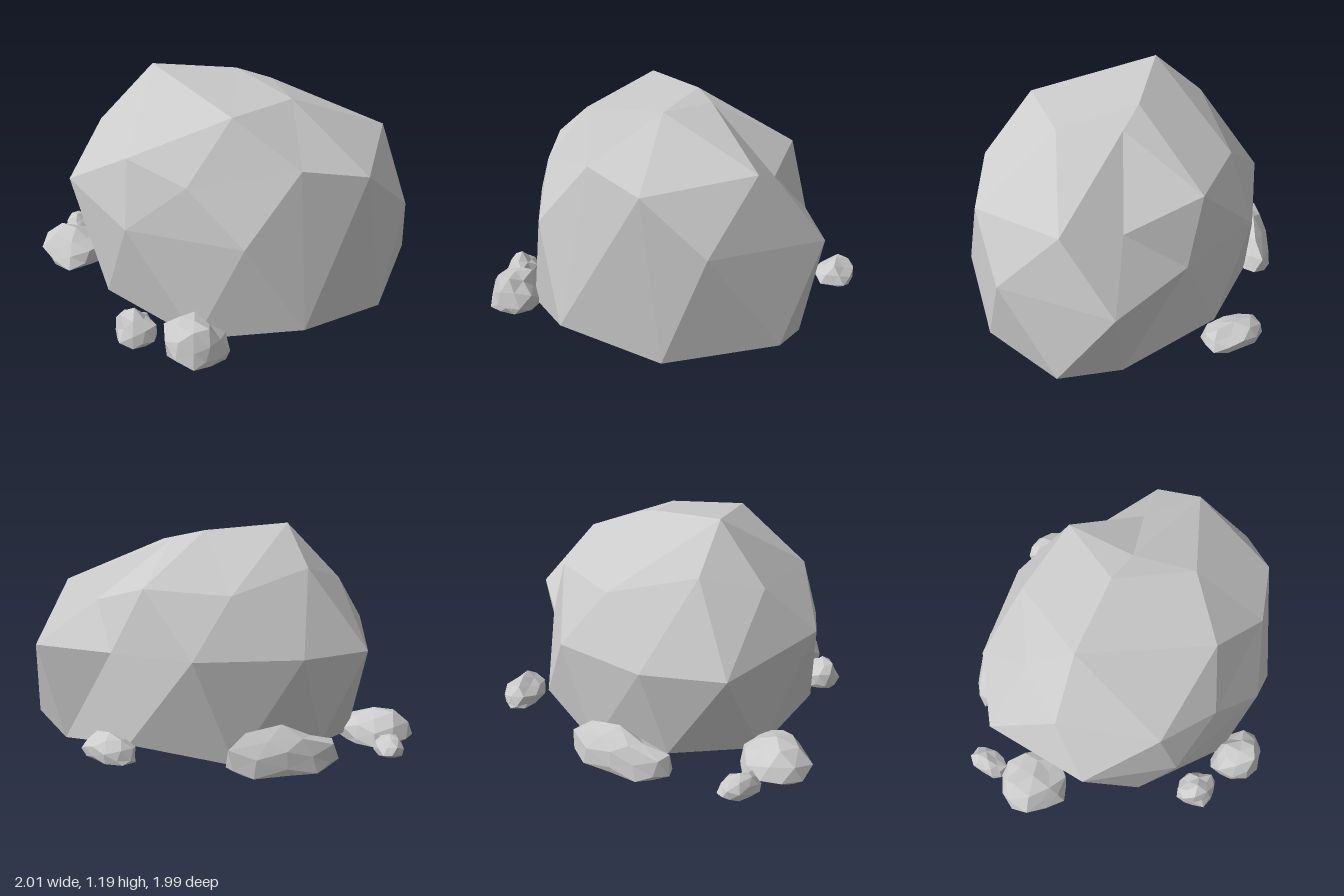
import * as THREE from 'three';
import { ConvexGeometry } from 'three/addons/geometries/ConvexGeometry.js';

const stone = new THREE.MeshStandardMaterial({ color: 0xcccccc, flatShading: true });

// Corners of the boulder, from the crown down to the underside
const corners = [
  // crown
  [-0.28, 1.2, 0.2], [0.04, 1.16, -0.12], [0.4, 1.1, 0.39], [0.47, 1.1, -0.02], [0.2, 1.11, -0.22],
  // shoulder
  [0.74, 0.88, 0.29], [0.94, 0.8, -0.01], [0.74, 0.88, -0.52], [0.42, 0.79, -0.57], [-0.01, 0.88, -0.63],
  [-0.38, 0.85, -0.38], [-0.51, 0.97, 0.08], [-0.48, 0.9, 0.41], [-0.02, 0.88, 0.69], [0.32, 0.8, 0.64],
  // belly
  [1, 0.55, -0.33], [0.63, 0.55, 0.59], [0.05, 0.55, 0.79], [-0.45, 0.65, 0.69], [-0.81, 0.55, 0.2],
  [-0.71, 0.55, -0.22], [-0.35, 0.55, -0.63], [0.14, 0.55, -0.72], [0.63, 0.55, -0.83],
  // ground rim, alternately touching down and lifted
  [1, 0.03, -0.12], [0.87, 0.11, 0.41], [0.43, 0.03, 0.71], [-0.14, 0.11, 0.75], [-0.56, 0.03, 0.41],
  [-0.72, 0.11, -0.08], [-0.48, 0.03, -0.47], [-0.03, 0.11, -0.76], [0.53, 0.03, -0.725], [0.87, 0.11, -0.65],
  // hollow underside
  [0.1, 0.09, 0],
].map((p) => new THREE.Vector3(...p));

// Triangulate the corner directions on a sphere, then pull each back to its true
// place, which keeps shallow dents that a plain hull would bridge
function boulderGeometry() {
  const centre = new THREE.Vector3(0.08, 0.42, -0.02);
  const dirs = corners.map((c) => c.clone().sub(centre).normalize());
  const geo = new ConvexGeometry(dirs);
  const pos = geo.attributes.position;
  const v = new THREE.Vector3();
  for (let i = 0; i < pos.count; i++) {
    v.fromBufferAttribute(pos, i);
    let best = 0;
    dirs.forEach((d, k) => { if (d.dot(v) > dirs[best].dot(v)) best = k; });
    pos.setXYZ(i, ...corners[best].toArray());
  }
  geo.computeVertexNormals();
  return geo;
}

// Same offset for every copy of the same vertex
function hash(v, seed) {
  const s = Math.sin(Math.round(v.x * 50) * 12.99 + Math.round(v.y * 50) * 78.23
    + Math.round(v.z * 50) * 37.72 + seed * 9.17) * 43758.55;
  return s - Math.floor(s);
}

// Small rough stone with a broad flat base, fitted to a size and standing on y = 0
function pebbleGeometry(size, seed) {
  const geo = new THREE.IcosahedronGeometry(1, 1);
  const pos = geo.attributes.position;
  const v = new THREE.Vector3();
  for (let i = 0; i < pos.count; i++) {
    v.fromBufferAttribute(pos, i);
    v.multiplyScalar(0.82 + 0.3 * hash(v, seed));
    pos.setXYZ(i, v.x, Math.max(v.y, -0.2), v.z);
  }
  geo.computeBoundingBox();
  const box = geo.boundingBox;
  const mid = box.getCenter(new THREE.Vector3());
  const span = box.getSize(new THREE.Vector3());
  geo.translate(-mid.x, -box.min.y, -mid.z);
  geo.scale(size[0] / span.x, size[1] / span.y, size[2] / span.z);
  geo.computeVertexNormals();
  return geo;
}

// name, position of base centre, size, turn
const pebbles = [
  ['frontLeftLargeStone', [-0.7, 0.01, 0.47], [0.4, 0.17, 0.36], 0],
  ['frontLeftSmallStone', [-0.91, 0.015, 0.26], [0.23, 0.1, 0.15], -0.9],
  ['frontSmallStone', [0.18, 0.03, 0.885], [0.25, 0.17, 0.22], 0],
  ['frontLargeStone', [0.48, 0.03, 0.795], [0.33, 0.18, 0.28], 0],
  ['backStone', [-0.055, 0.09, -0.885], [0.34, 0.12, 0.22], -0.1],
  ['sideLongStone', [-0.655, 0.01, -0.31], [0.58, 0.23, 0.21], 0.96],
];

export function createModel() {
  const group = new THREE.Group();
  const boulder = new THREE.Mesh(boulderGeometry(), stone);
  boulder.name = 'boulder';
  group.add(boulder);
  pebbles.forEach(([name, at, size, turn], i) => {
    const mesh = new THREE.Mesh(pebbleGeometry(size, i + 1), stone);
    mesh.name = name;
    mesh.position.set(...at);
    mesh.rotation.y = turn;
    group.add(mesh);
  });
  return group;
}
